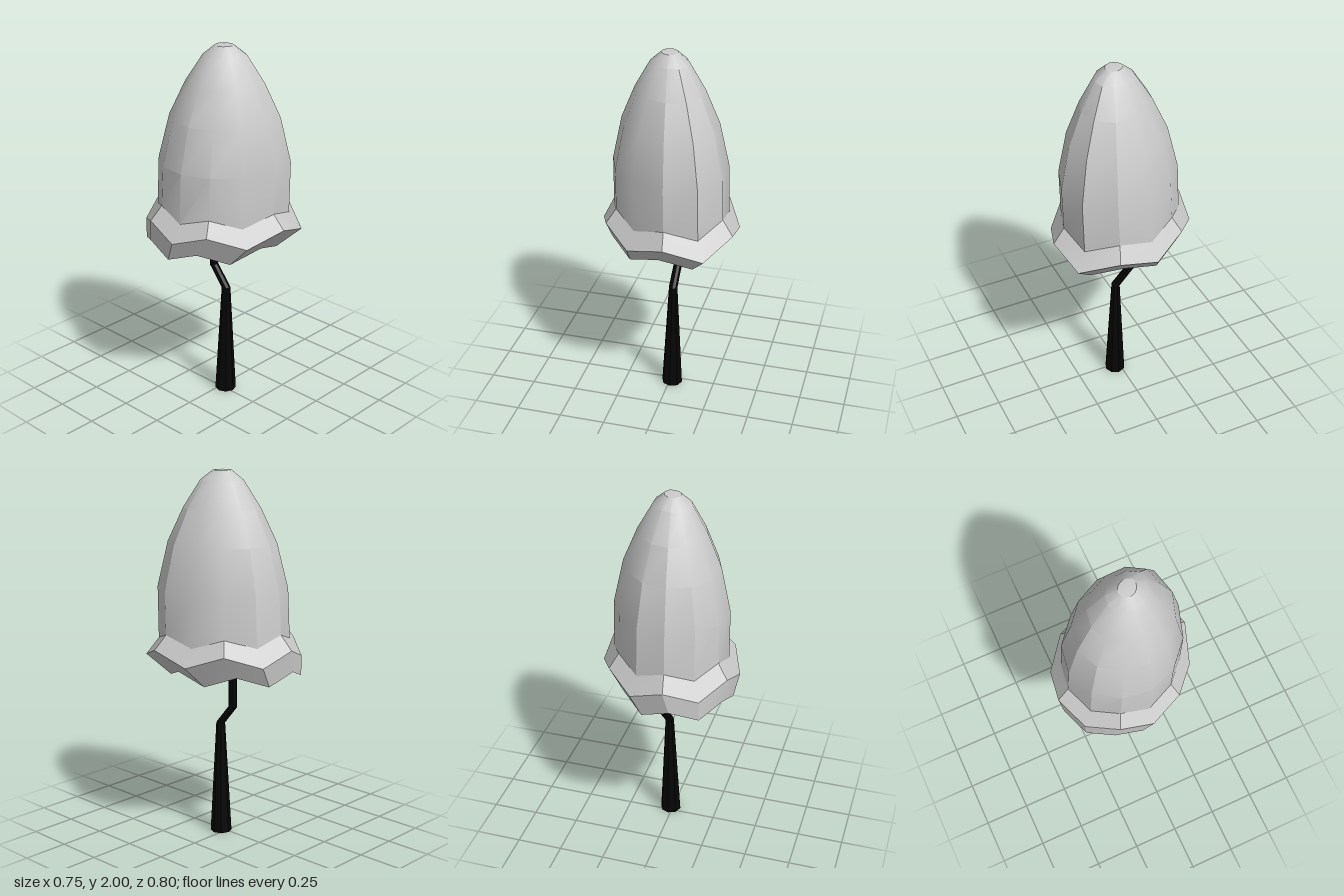
import * as THREE from 'three';
import { toCreasedNormals } from 'three/addons/utils/BufferGeometryUtils.js';

// Irregular twelve-sided outline of the shade at its widest: x, z per corner
const OUTLINE = [
  [-0.07, -0.4], [0.115, -0.37], [0.27, -0.24], [0.365, -0.055], [0.372, 0.165], [0.26, 0.35],
  [0.057, 0.398], [-0.15, 0.33], [-0.305, 0.192], [-0.375, 0.012], [-0.35, -0.172], [-0.24, -0.325],
];

// Rings: scale of the outline, height, zigzag height, shift in x and z
const DOME = [
  [0.84, 1.13, 0.025, 0, 0], [0.83, 1.38, 0, 0, 0.01], [0.69, 1.62, 0, 0, 0.015],
  [0.49, 1.8, 0, 0, 0.02], [0.27, 1.945, 0, 0, 0.025], [0.12, 1.995, 0, 0, 0.025], [0, 2, 0, 0, 0.025],
];
// The underside of the rim leans towards the back right corner
const RIM = [
  [0.78, 1.12, 0.025, 0, 0], [0.66, 1.05, 0.027, -0.03, -0.03], [0.62, 0.98, 0.027, -0.04, -0.05],
  [0.84, 0.93, 0.028, -0.04, -0.05], [1, 1.045, 0.033, 0, 0], [0.84, 1.13, 0.025, 0, 0],
];
// Inner lining follows the dome slightly inside it, from the apex down
const LINING = DOME.map(([s, y, ...rest]) => [s * 0.94, y - 0.025, ...rest]).reverse();
LINING[LINING.length - 1] = RIM[0];

// Faces between successive loops of n points
function loopFaces(loops, n) {
  const index = [];
  for (let k = 0; k < loops - 1; k++) {
    for (let i = 0; i < n; i++) {
      const a = k * n + i, b = k * n + (i + 1) % n;
      index.push(a, a + n, b, b, a + n, b + n);
    }
  }
  return index;
}

function buildGeometry(pos, index, crease) {
  const g = new THREE.BufferGeometry();
  g.setAttribute('position', new THREE.Float32BufferAttribute(pos, 3));
  g.setIndex(index);
  return toCreasedNormals(g, crease);
}

// Skin a stack of rings
function skin(rings) {
  const pos = [];
  for (const [s, y, zig, dx, dz] of rings) {
    OUTLINE.forEach(([x, z], i) => {
      const tilt = zig ? -0.025 * z : 0;
      pos.push(x * s + dx, y + (i % 2 ? -zig : zig) + tilt, z * s + dz);
    });
  }
  return buildGeometry(pos, loopFaces(rings.length, OUTLINE.length), 0.5);
}

// Bent rod along points of x, y, z, radius
function rod(points, sides) {
  const pos = [];
  const pts = points.map(p => new THREE.Vector3(p[0], p[1], p[2]));
  const up = new THREE.Vector3(0, 1, 0);
  pts.forEach((p, k) => {
    const dir = pts[Math.min(k + 1, pts.length - 1)].clone().sub(pts[Math.max(k - 1, 0)]).normalize();
    const q = new THREE.Quaternion().setFromUnitVectors(up, dir);
    for (let i = 0; i < sides; i++) {
      const t = i / sides * Math.PI * 2, r = points[k][3];
      const v = new THREE.Vector3(Math.cos(t) * r, 0, Math.sin(t) * r).applyQuaternion(q).add(p);
      pos.push(v.x, Math.max(v.y, 0), v.z);
    }
  });
  const index = loopFaces(pts.length, sides);
  // End caps
  const last = (pts.length - 1) * sides;
  for (let i = 1; i < sides - 1; i++) index.push(0, i, i + 1, last, last + i + 1, last + i);
  return buildGeometry(pos, index, 0.5);
}

export function createModel() {
  const model = new THREE.Group();
  model.name = 'bellOnStem';
  const grey = new THREE.MeshStandardMaterial({ color: 0xcccccc, side: THREE.DoubleSide });
  const black = new THREE.MeshStandardMaterial({ color: 0x050505 });
  const add = (name, geometry, material) => {
    const mesh = new THREE.Mesh(geometry, material);
    mesh.name = name;
    model.add(mesh);
  };

  // Bell-shaped shade: dome, flared zigzag rim and inner lining
  add('dome', skin(DOME), grey);
  add('flaredRim', skin(RIM), grey);
  add('innerLining', skin(LINING), grey);

  // Tapered stem with a crook, rising into the shade
  add('stem', rod([
    [0.013, 0, 0.028, 0.058], [0.018, 0.63, 0.025, 0.024], [0.022, 0.74, -0.07, 0.023], [0.022, 1.1, -0.07, 0.022],
  ], 8), black);

  // Thin side branch turning up behind the stem
  add('sideBranch', rod([
    [0.02, 0.92, -0.07, 0.011], [0.02, 0.96, -0.17, 0.011], [0.02, 1.1, -0.18, 0.01],
  ], 5), black);

  return model;
}
